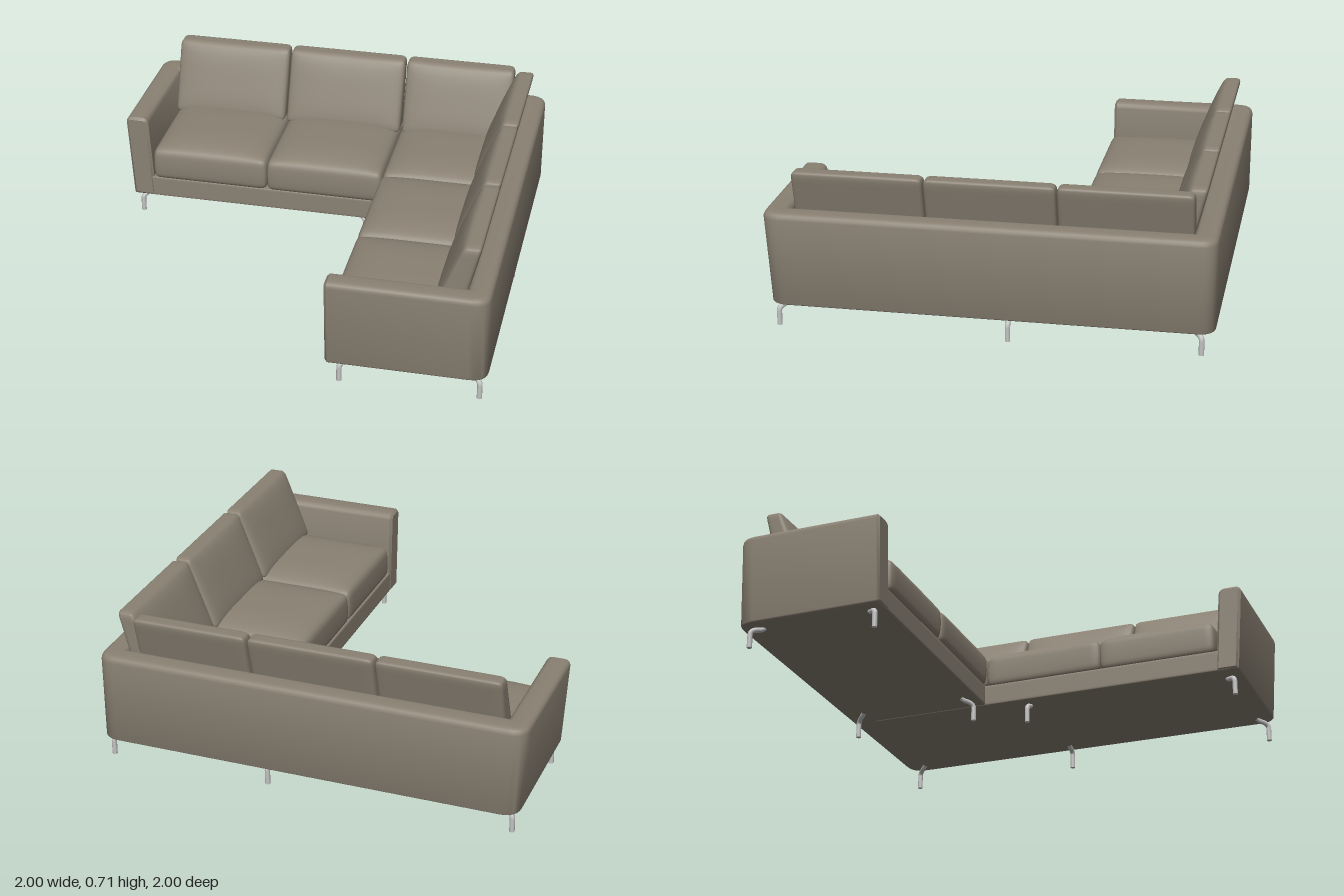
import * as THREE from 'three';
import { mergeVertices, toCreasedNormals } from 'three/addons/utils/BufferGeometryUtils.js';

const BASE_Y = 0.105, WALL_TOP = 0.53;

// Box with rounded edges; shape(p, u, v, w) may then push points around (u, v, w run -1..1)
function softBox(w, h, d, r, shape) {
  let geo = new THREE.BoxGeometry(2, 2, 2, 16, 16, 16);
  geo.deleteAttribute('uv');
  geo.deleteAttribute('normal');
  geo = mergeVertices(geo);
  const pos = geo.attributes.position, p = new THREE.Vector3(), core = new THREE.Vector3();
  const inner = new THREE.Vector3(w / 2 - r, h / 2 - r, d / 2 - r);
  for (let i = 0; i < pos.count; i++) {
    p.fromBufferAttribute(pos, i);
    // crowd the grid lines towards the edges
    p.set(...p.toArray().map((t) => Math.sin((t * Math.PI) / 2)));
    p.multiply(new THREE.Vector3(w / 2, h / 2, d / 2));
    core.copy(p).clamp(inner.clone().negate(), inner);
    p.sub(core);
    if (p.lengthSq() > 0) p.setLength(r);
    p.add(core);
    if (shape) shape(p, (2 * p.x) / w, (2 * p.y) / h, (2 * p.z) / d);
    pos.setXYZ(i, p.x, p.y, p.z);
  }
  geo.computeVertexNormals();
  return geo;
}

// Rounded upright section of the wall: d is the inward distance, y the height
function wallProfile(shrink) {
  const width = 0.11, pts = [];
  const corners = [[0, BASE_Y, 0.01, 2], [width, BASE_Y, 0.01, 3], [width, WALL_TOP, 0.028, 0], [0, WALL_TOP, 0.028, 1]];
  for (const [d, y, r, quarter] of corners) {
    const cd = d + (d > 0 ? -r : r), cy = y + (y > BASE_Y ? -r : r);
    for (let k = 0; k <= 4; k++) {
      const a = (quarter + k / 4) * (Math.PI / 2), rr = r - shrink;
      // shrinking past the radius simply pulls the corner centre inwards
      const s = Math.max(rr, 0.002), extra = Math.max(0.002 - rr, 0);
      pts.push([cd + s * Math.cos(a) + (d > 0 ? -extra : extra), cy + s * Math.sin(a) + (y > BASE_Y ? -extra : extra)]);
    }
  }
  return pts;
}

// Plan path of one wall point: arm, back, long side, arm, with rounded corners; the arms lean out
function wallPath(d, y, endInset) {
  const a = d + 0.03 * (1 - (y - BASE_Y) / (WALL_TOP - BASE_Y)), b = d + 0.003;
  const V = (x, z) => new THREE.Vector2(x, z);
  const c = [V(-1 + a, -0.297 - endInset), V(-1 + a, -1 + b), V(1 - b, -1 + b), V(1 - b, 1 - a), V(0.28 + endInset, 1 - a)];
  const r = Math.max(0.08 - d, 0.005), out = [c[0]];
  for (let i = 1; i < 4; i++) {
    const from = c[i].clone().add(c[i - 1].clone().sub(c[i]).setLength(r));
    const to = c[i].clone().add(c[i + 1].clone().sub(c[i]).setLength(r));
    out.push(...new THREE.QuadraticBezierCurve(from, c[i], to).getPoints(6));
  }
  out.push(c[4]);
  return out;
}

function wallGeometry() {
  const bevel = 0.012;
  const full = wallProfile(0).map(([d, y]) => ({ y, path: wallPath(d, y, bevel) }));
  const tips = wallProfile(bevel).map(([d, y]) => ({ y, path: wallPath(d, y, 0) }));
  const n = full.length, count = full[0].path.length, verts = [], index = [];
  const ring = (src, j) => src.forEach((s) => verts.push(s.path[j].x, s.y, s.path[j].y));
  ring(tips, 0);
  for (let j = 0; j < count; j++) ring(full, j);
  ring(tips, count - 1);
  const rings = count + 2;
  for (let j = 0; j < rings - 1; j++) {
    for (let i = 0; i < n; i++) {
      const a = j * n + i, b = j * n + ((i + 1) % n);
      index.push(a, a + n, b, b, a + n, b + n);
    }
  }
  // arm ends
  const last = (rings - 1) * n;
  for (let i = 1; i < n - 1; i++) {
    index.push(0, i, i + 1);
    index.push(last, last + i + 1, last + i);
  }
  const geo = new THREE.BufferGeometry();
  geo.setAttribute('position', new THREE.Float32BufferAttribute(verts, 3));
  geo.setIndex(index);
  return toCreasedNormals(geo, 0.7);
}

export function createModel() {
  const group = new THREE.Group();
  const leather = new THREE.MeshStandardMaterial({ color: 0x8a8173 });
  leather.name = 'taupe leather';
  const metal = new THREE.MeshStandardMaterial({ color: 0xc4c4c4 });
  metal.name = 'brushed metal';

  const add = (name, geo, mat, x = 0, y = 0, z = 0, turn = 0) => {
    const mesh = new THREE.Mesh(geo, mat);
    mesh.name = name;
    mesh.position.set(x, y, z);
    mesh.rotation.y = turn;
    group.add(mesh);
    return mesh;
  };

  // Arms and back in one continuous wall
  add('armsAndBack', wallGeometry(), leather);

  // Base under the seats: [x0, x1, z0, z1]
  const bases = [[-0.92, 0.283, -0.94, -0.3], [0.285, 0.94, -0.94, 0.93]];
  bases.forEach(([x0, x1, z0, z1], i) => {
    add(i ? 'sideBase' : 'backBase', softBox(x1 - x0, 0.105, z1 - z0, 0.008), leather, (x0 + x1) / 2, BASE_Y + 0.0535, (z0 + z1) / 2);
  });

  // Seat cushions with a crowned top and slightly full sides
  const crown = (p, u, v, w) => {
    const fu = Math.max(1 - u ** 4, 0), fw = Math.max(1 - w ** 4, 0), fv = 1 - v * v;
    if (v > 0) p.y += 0.034 * v * fu * fw;
    p.x += 0.005 * u * fv;
    p.z += 0.008 * w * fv;
  };
  const seats = [
    [-0.862, -0.292, -0.87, -0.295], [-0.285, 0.283, -0.87, -0.295], [0.292, 0.88, -0.87, -0.3],
    [0.288, 0.88, -0.293, 0.282], [0.288, 0.88, 0.29, 0.85],
  ];
  for (const [x0, x1, z0, z1] of seats) {
    add('seatCushion', softBox(x1 - x0, 0.165, z1 - z0, 0.03, crown), leather, (x0 + x1) / 2, 0.285, (z0 + z1) / 2);
  }

  // Back cushions: thick at the foot, thin at the top, leaning back, with a full front
  const lean = (p, u, v, w) => {
    const t = (v + 1) / 2;
    const puff = Math.max(1 - u ** 4, 0) * Math.max(1 - v ** 4, 0);
    p.z = p.z * (1.08 - 0.4 * t) - 0.11 * t;
    if (w > 0) p.z += 0.016 * puff * w;
  };
  const backCushion = (width) => softBox(width, 0.345, 0.12, 0.026, lean);
  for (const [a, b] of [[-0.87, -0.3], [-0.292, 0.292], [0.302, 0.84]]) {
    add('backCushion', backCushion(b - a), leather, (a + b) / 2, 0.535, -0.79);
  }
  for (const [a, b] of [[-0.89, -0.3], [-0.294, 0.284], [0.29, 0.872]]) {
    add('sideBackCushion', backCushion(b - a), leather, 0.79, 0.535, (a + b) / 2, -Math.PI / 2);
  }

  // Bent legs: [x, z, bend towards x, bend towards z]
  const legs = [
    [-0.935, -0.33, 1, -1], [-0.935, -0.94, 1, 1], [0.205, -0.33, -1, -1], [0.205, -0.94, -1, 1],
    [0.965, -0.94, -1, 1], [0.97, -0.095, -1, 0], [0.315, -0.095, 1, 0],
    [0.965, 0.935, -1, -1], [0.34, 0.935, 1, -1],
  ];
  for (const [x, z, bx, bz] of legs) {
    const bend = new THREE.CurvePath();
    const low = new THREE.Vector3(0, 0.065, 0), top = new THREE.Vector3(bx * 0.035, 0.095, bz * 0.035);
    bend.add(new THREE.QuadraticBezierCurve3(low, new THREE.Vector3(0, 0.09, 0), top));
    bend.add(new THREE.LineCurve3(top, top.clone().add(new THREE.Vector3(bx * 0.012, 0.012, bz * 0.012))));
    add('legBend', new THREE.TubeGeometry(bend, 10, 0.012, 10), metal, x, 0, z);
    add('legPost', new THREE.CylinderGeometry(0.012, 0.012, 0.068, 10), metal, x, 0.034, z);
  }
  return group;
}
